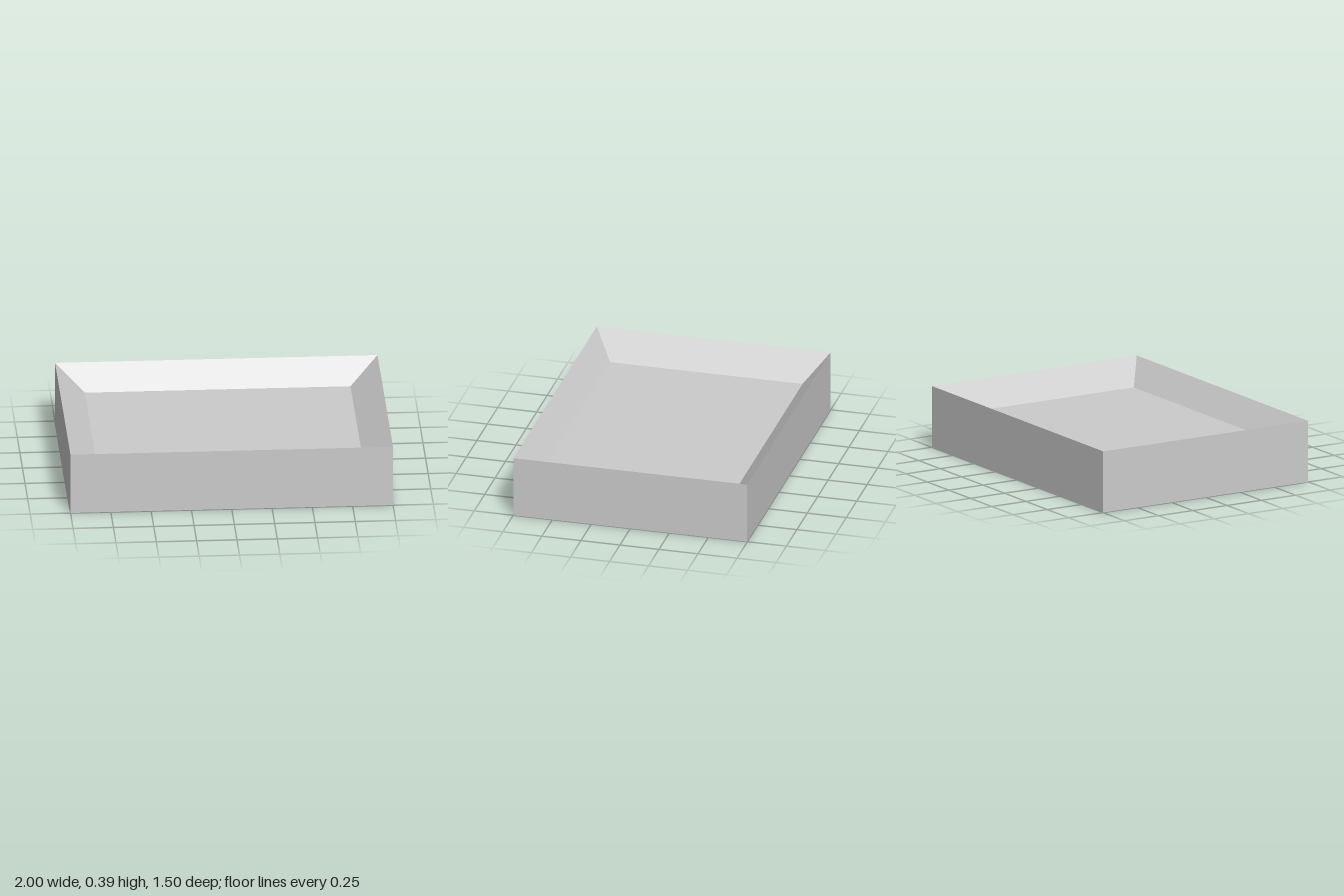
import * as THREE from 'three';

const HEIGHT = 0.39, FLOOR = 0.24, DEPTH_RATIO = 0.748, INSET = 0.824;

export function createModel() {
  const group = new THREE.Group();
  group.name = 'tray';

  // Four-sided turned profile: base, upright outer wall, sharp rim, sloped inner wall, floor
  const r = Math.SQRT2;
  const profile = [
    [0, 0], [r, 0], [r, HEIGHT], [r * INSET, FLOOR], [0, FLOOR],
  ].map(([x, y]) => new THREE.Vector2(x, y));

  const geometry = new THREE.LatheGeometry(profile, 4, Math.PI / 4)
    .scale(1, 1, DEPTH_RATIO)
    .toNonIndexed();
  geometry.computeVertexNormals();

  const body = new THREE.Mesh(
    geometry,
    new THREE.MeshStandardMaterial({ color: 0xcccccc, flatShading: true }),
  );
  body.name = 'trayBody';
  group.add(body);
  return group;
}
